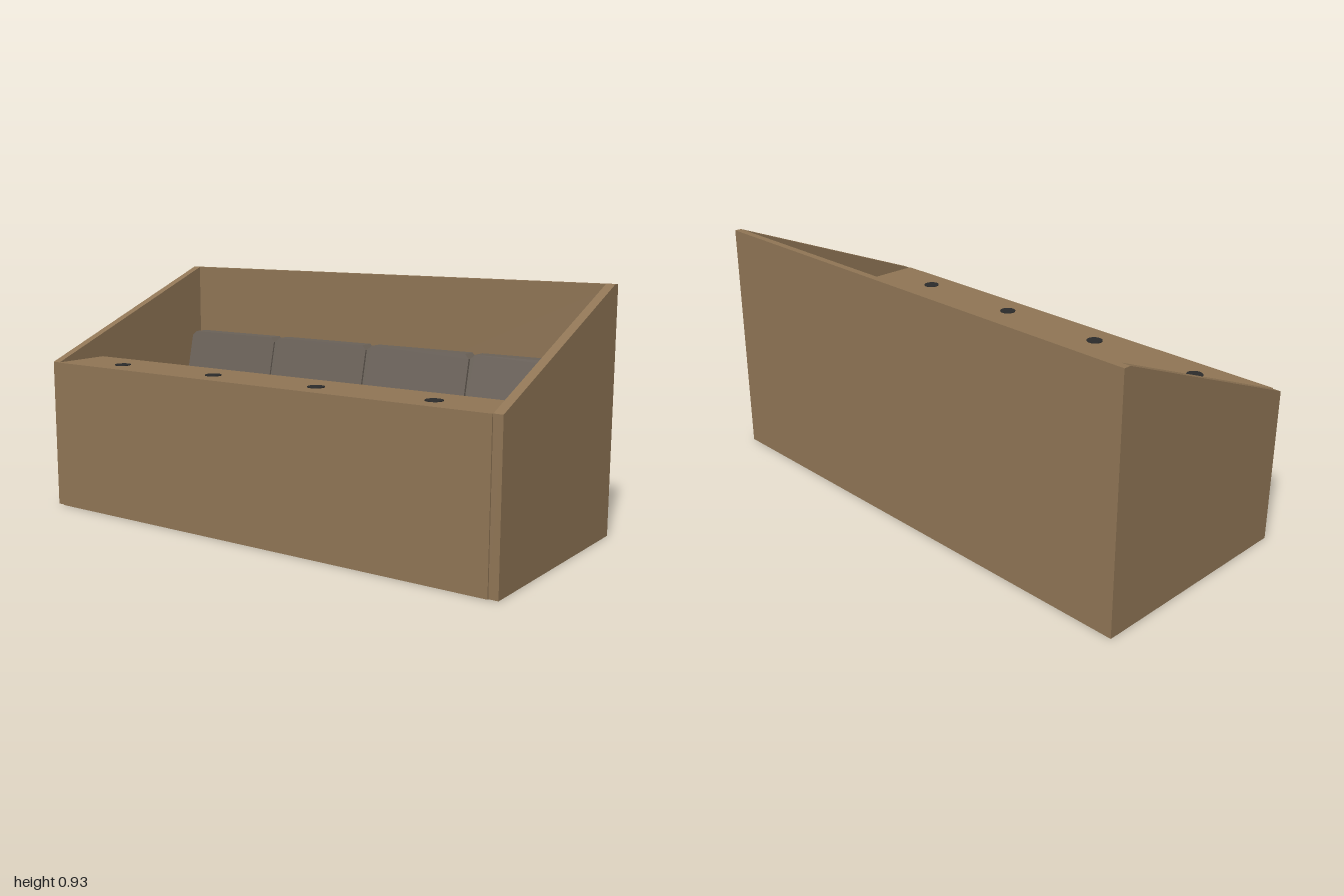
import * as THREE from 'three';

const wood = new THREE.MeshStandardMaterial({ name: 'wood', color: 0x8f7555 });
const fabric = new THREE.MeshStandardMaterial({ name: 'fabric', color: 0x6a6158 });
const black = new THREE.MeshStandardMaterial({ name: 'black', color: 0x2b2b2b });

const polygon = (pts) => new THREE.Shape(pts.map(([x, y]) => new THREE.Vector2(x, y)));
const extrude = (pts, depth) =>
  new THREE.ExtrudeGeometry(polygon(pts), { depth, bevelEnabled: false });

export function createModel() {
  const root = new THREE.Group();
  root.name = 'seatingBox';

  const add = (name, geometry, material, parent = root) => {
    const mesh = new THREE.Mesh(geometry, material);
    mesh.name = name;
    parent.add(mesh);
    return mesh;
  };
  // Box given by its minimum and maximum corners
  const box = (name, material, [x0, y0, z0], [x1, y1, z1], parent) => {
    const g = new THREE.BoxGeometry(x1 - x0, y1 - y0, z1 - z0);
    g.translate((x0 + x1) / 2, (y0 + y1) / 2, (z0 + z1) / 2);
    return add(name, g, material, parent);
  };

  // Wooden enclosure, open below and above
  box('backWall', wood, [-1, 0, -0.44], [1, 0.93, -0.413]);
  box('frontWall', wood, [-0.965, 0, 0.405], [0.965, 0.558, 0.44]);
  box('ledge', wood, [-0.965, 0.558, 0.2], [0.965, 0.587, 0.44]);

  // Side walls with sloping tops
  const sidePts = [[-0.434, 0], [0.413, 0], [0.413, 0.93], [-0.434, 0.587]];
  for (const side of [-1, 1]) {
    const g = extrude(sidePts, 0.035).rotateY(Math.PI / 2); // profile x becomes -z
    const wall = add(side > 0 ? 'leftWall' : 'rightWall', g, wood);
    wall.position.x = side > 0 ? 0.965 : -1;
  }

  // Row of four seats, each with a cup spot on the ledge
  const pitch = 0.47, w = pitch / 2 - 0.003;
  const cushionPts = [
    [-w, 0.35], [-w, 0.07], [-w + 0.03, 0.045], [w - 0.03, 0.045], [w, 0.07], [w, 0.35],
  ];
  const backPts = [
    [-w, 0.29], [w, 0.29], [w, 0.63], [w - 0.018, 0.648], [-w + 0.018, 0.648], [-w, 0.63],
  ];
  for (let i = 0; i < 4; i++) {
    const seat = new THREE.Group();
    seat.name = 'seat' + (i + 1);
    seat.position.x = (i - 1.5) * pitch;
    root.add(seat);

    const cushion = extrude(cushionPts, 0.1).rotateX(-Math.PI / 2).translate(0, 0.28, 0);
    add('cushion', cushion, fabric, seat);

    // Backrest sheared to lean backwards
    const back = extrude(backPts, 0.06);
    const p = back.attributes.position;
    for (let k = 0; k < p.count; k++) {
      p.setZ(k, p.getZ(k) - 0.33 - (p.getY(k) - 0.38) * 0.23);
    }
    back.computeVertexNormals();
    add('backrest', back, fabric, seat);

    const cup = new THREE.CylinderGeometry(0.031, 0.031, 0.006, 24);
    add('cupSpot', cup, black, seat).position.set(0, 0.587, 0.34);
  }

  // Support beam and three floor legs
  box('seatBeam', black, [-0.937, 0.255, -0.33], [0.937, 0.282, -0.12]);
  for (const x of [-0.82, 0, 0.82]) {
    box('leg', black, [x - 0.02, 0, -0.335], [x + 0.02, 0.258, -0.125]);
  }

  return root;
}
